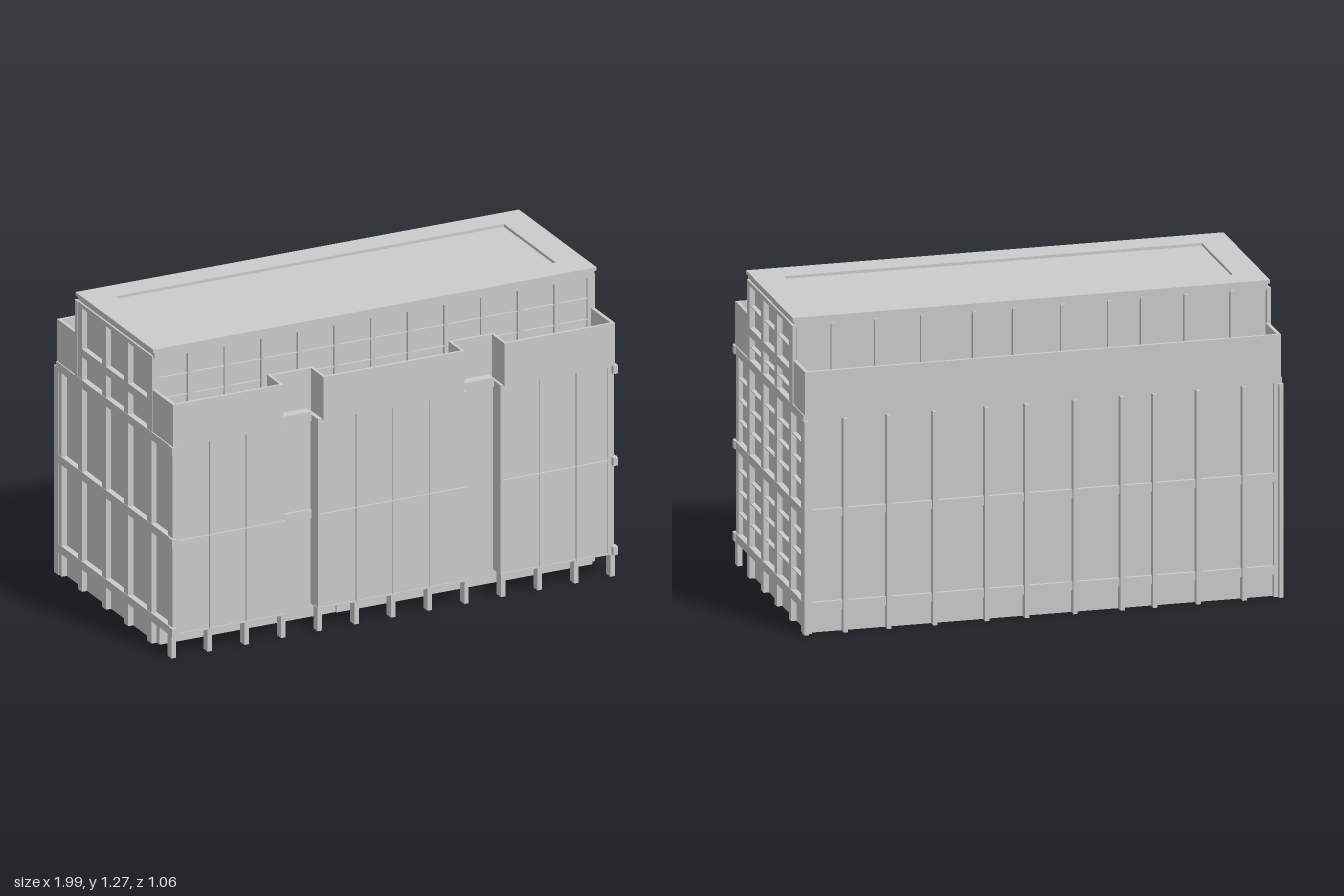
import * as THREE from 'three';

export function createModel() {
  const model = new THREE.Group();
  const grey = new THREE.MeshStandardMaterial({ color: 0xcccccc, flatShading: true });

  const add = (name, geometry, parent = model) => {
    const mesh = new THREE.Mesh(geometry, grey);
    mesh.name = name;
    parent.add(mesh);
    return mesh;
  };
  const group = (name) => {
    const g = new THREE.Group();
    g.name = name;
    model.add(g);
    return g;
  };
  // Box given by its limits on each axis
  const box = (name, x0, x1, y0, y1, z0, z1, parent) => {
    const g = new THREE.BoxGeometry(Math.abs(x1 - x0), y1 - y0, z1 - z0);
    g.translate((x0 + x1) / 2, (y0 + y1) / 2, (z0 + z1) / 2);
    return add(name, g, parent);
  };
  // Floor plan in x and z, raised from y0 to y1
  const plan = (name, points, y0, y1, hole) => {
    const shape = new THREE.Shape(points.map(([x, z]) => new THREE.Vector2(x, z)));
    if (hole) shape.holes.push(new THREE.Path(hole.map(([x, z]) => new THREE.Vector2(x, z))));
    const g = new THREE.ExtrudeGeometry(shape, { depth: y1 - y0, bevelEnabled: false });
    g.rotateX(Math.PI / 2).translate(0, y1, 0);
    return add(name, g);
  };
  const rect = (x, z0, z1) => [[-x, z0], [x, z0], [x, z1], [-x, z1]];
  // Front edge running from +x to -x with the two notches cut in
  const notchedEdge = (x, z, n0, n1, depth) => [
    [x, z], [n1, z], [n1, depth], [n0, depth], [n0, z],
    [-n0, z], [-n0, depth], [-n1, depth], [-n1, z], [-x, z],
  ];

  const columnXs = Array.from({ length: 13 }, (_, i) => -0.98 + i * 0.1633);

  // Ground floor and main block
  box('groundFloor', -0.965, 0.965, 0, 0.1, -0.495, 0.36);
  box('entranceSill', -0.18, 0.22, 0, 0.035, 0.36, 0.367);
  plan('mainBlock',
    [[-0.965, -0.5], [0.965, -0.5], ...notchedEdge(0.965, 0.508, 0.333, 0.48, 0.44)], 0.095, 0.908);

  // Terrace parapets: thin walls on three sides of each terrace
  plan('frontParapet', [
    [0.985, 0.335], ...notchedEdge(0.985, 0.52, 0.315, 0.492, 0.41), [-0.985, 0.335],
    [-0.97, 0.335], ...notchedEdge(0.97, 0.508, 0.303, 0.504, 0.398).reverse(), [0.97, 0.335],
  ], 0.905, 1.09);
  plan('backParapet', [
    [-0.985, -0.335], [-0.985, -0.513], [0.985, -0.513], [0.985, -0.335],
    [0.97, -0.335], [0.97, -0.5], [-0.97, -0.5], [-0.97, -0.335],
  ], 0.888, 1.09);

  // Upper storeys and roof
  box('upperBlock', -0.965, 0.965, 0.9, 1.235, -0.328, 0.325);
  plan('roofSlab', rect(0.98, -0.335, 0.345), 1.225, 1.255);
  plan('roofRim', rect(0.988, -0.342, 0.35), 1.253, 1.267, rect(0.865, -0.23, 0.23).reverse());

  // Columns under the front overhang
  const front = group('frontFacade');
  for (const x of columnXs) {
    const c = THREE.MathUtils.clamp(x, -0.978, 0.978);
    box('frontColumn', c - 0.01, c + 0.01, 0, 0.1, 0.475, 0.513, front);
    box('upperPilaster', c - 0.01, c + 0.01, 0.905, 1.235, 0.32, 0.337, front);
  }
  // Slender fins and a string line on the three front panels
  for (const x of columnXs.slice(1, -1)) {
    if (Math.abs(Math.abs(x) - 0.407) < 0.09) continue;
    box('facadeFin', x - 0.0015, x + 0.0015, 0.095, 0.905, 0.5, 0.515, front);
  }
  for (const [a, b] of [[-0.978, -0.48], [-0.333, 0.333], [0.48, 0.978]]) {
    box('facadeLine', a, b, 0.497, 0.501, 0.5, 0.515, front);
    box('facadeFoot', a, b, 0.095, 0.101, 0.475, 0.513, front);
  }
  box('notchBand', -0.48, -0.333, 0.462, 0.5, 0.43, 0.452, front);
  for (const s of [-1, 1]) {
    box('notchLintel', s * 0.333, s * 0.48, 0.88, 0.92, 0.41, 0.45, front);
  }
  for (const y of [1.04, 1.13]) {
    box('upperWindowLedge', -0.965, 0.965, y, y + 0.004, 0.32, 0.333, front);
  }

  // Back columns and bands
  const back = group('backFacade');
  for (const x of [-0.985, -0.83, -0.64, -0.46, -0.325, -0.13, 0.07, 0.235, 0.45, 0.64, 0.82, 0.985]) {
    const c = THREE.MathUtils.clamp(x, -0.982, 0.982);
    box('backColumn', c - 0.009, c + 0.009, 0, 0.888, -0.53, -0.49, back);
    box('upperBackColumn', c - 0.008, c + 0.008, 0.905, 1.235, -0.345, -0.32, back);
  }
  for (const [y0, y1] of [[0.095, 0.13], [0.48, 0.515]]) {
    box('backBand', -0.98, 0.98, y0, y1, -0.514, -0.49, back);
  }

  // Side frames: posts, bands, and thin sunshades on the right-hand end
  const lowBands = [[0.097, 0.132], [0.48, 0.515], [0.875, 0.91]];
  for (const s of [-1, 1]) {
    const side = group(s > 0 ? 'leftSideFrame' : 'rightSideFrame');
    const x0 = s * 0.955, x1 = s * 0.988;
    for (const [z0, z1] of [[0.295, 0.335], [0.09, 0.127], [-0.107, -0.07], [-0.32, -0.285]]) {
      box('sidePost', x0, x1, 0, 1.23, z0, z1, side);
    }
    box('frontCornerPost', x0, s * 0.984, 0.095, 0.908, 0.475, 0.513, side);
    box('backCornerPost', x0, x1, 0, 0.905, -0.513, -0.465, side);
    for (const [y0, y1] of lowBands) {
      box('sideBand', x0, s * 0.99, y0, y1, -0.513, 0.513, side);
      box('cornerBlock', s * 0.972, s * 0.994, y0, y1, 0.5, 0.53, side);
    }
    box('upperSideBand', x0, x1, 1.008, 1.043, -0.33, 0.335, side);
    box('topSideBand', x0, x1, 1.218, 1.235, -0.33, 0.335, side);
    if (s > 0) {
      for (const base of [0.132, 0.515]) {
        for (let i = 1; i < 4; i++) {
          const y = base + i * 0.0885;
          box('sunshade', x0, s * 0.984, y, y + 0.004, -0.47, 0.48, side);
        }
      }
      for (const y of [0.96, 1.13]) box('sunshade', x0, s * 0.984, y, y + 0.004, -0.32, 0.33, side);
    }
  }
  return model;
}
